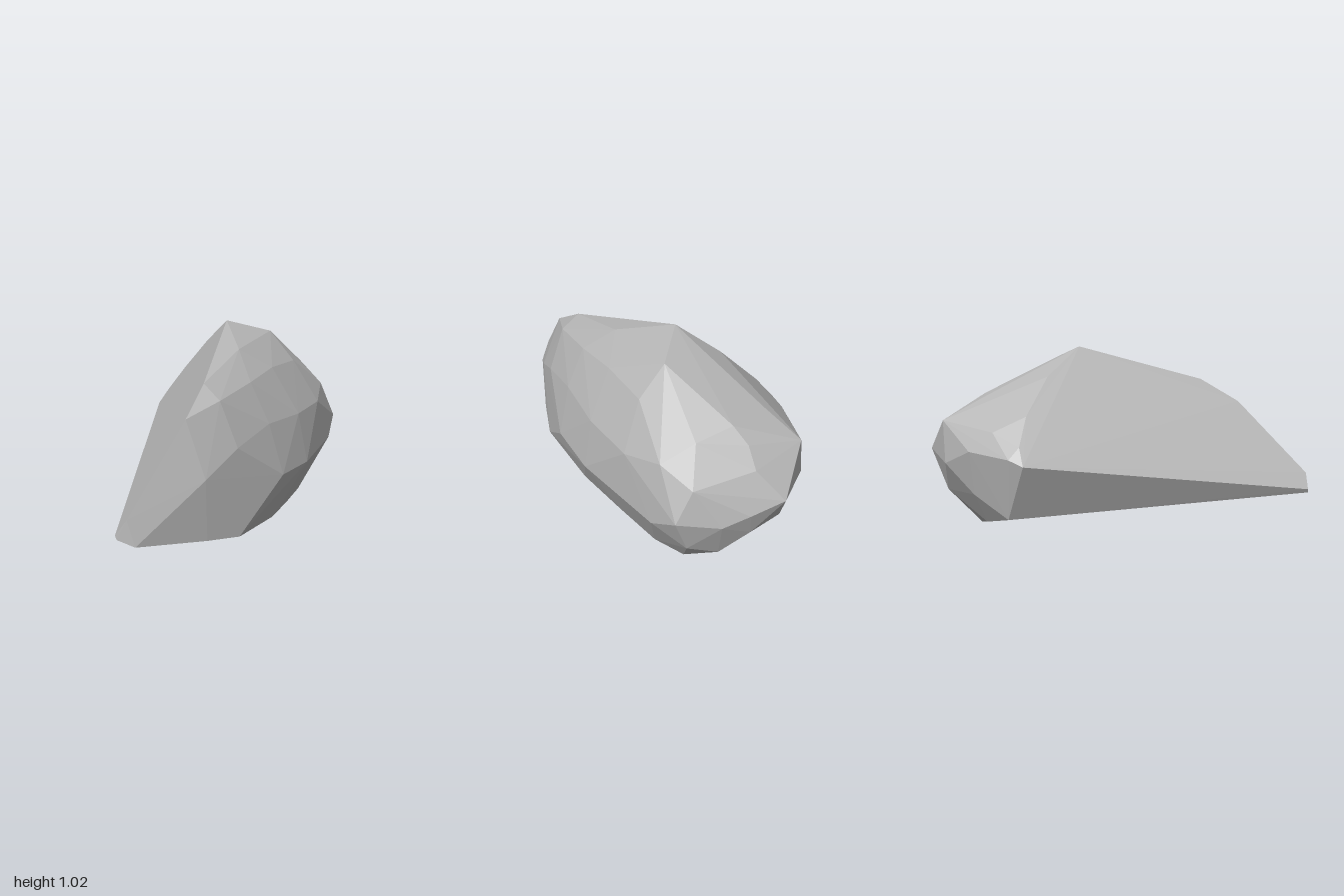
import * as THREE from 'three';
import { ConvexGeometry } from 'three/addons/geometries/ConvexGeometry.js';

export function createModel() {
  const group = new THREE.Group();
  group.name = 'rock';
  const stone = new THREE.MeshStandardMaterial({ color: 0xb4b4b4, flatShading: true });
  stone.name = 'grey stone';

  // Two flat cuts: the tilted underside and the sloping back
  const underside = (x, z) => new THREE.Vector3(x, 0.141 - 0.156 * x - 0.176 * z, z);
  const backCut = (x, y) => new THREE.Vector3(x, y, -0.718 - 0.739 * x + 0.849 * y);

  // Rim of the underside as x, z
  const bottomRim = [
    [-1, 0.26], [-0.98, 0.35], [-0.6, 0.46], [-0.4, 0.505], [0, 0.44], [0.3, 0.35],
    [0.55, 0.27], [0.7, 0.18], [0.74, 0], [0.72, -0.15], [0.6, -0.33], [0.41, -0.47],
  ].map(([x, z]) => underside(x, z));

  // Rim of the back cut as x, y
  const backRim = [
    [-1, 0.27], [-0.98, 0.35], [-0.8, 0.52], [-0.6, 0.72], [-0.4, 0.84], [-0.13, 0.92],
    [0.2, 1.02], [0.3, 0.87], [0.34, 0.68], [0.33, 0.54], [0.29, 0.45],
  ].map(([x, y]) => backCut(x, y));

  // Chipped corners of the rounded front, top and right end
  const corners = [
    [-0.07, 0.34, 0.54], [0.22, 0.32, 0.51], [0.87, 0.39, 0.31], [0.72, 0.3, 0.365],
    [-0.6, 0.45, 0.45], [-0.38, 0.55, 0.475], [-0.1, 0.6, 0.47], [0.2, 0.58, 0.46],
    [0.5, 0.57, 0.405], [-0.4, 0.77, 0.385], [-0.12, 0.8, 0.37], [0.14, 0.82, 0.33],
    [-0.02, 0.93, 0.23], [0.4, 0.95, 0.15], [0.42, 0.8, 0.29], [0.7, 0.62, 0.31],
    [0.6, 0.82, 0.05], [0.74, 0.76, -0.04], [0.74, 0.72, 0.15], [0.82, 0.69, -0.08],
    [0.86, 0.55, 0.22], [0.9, 0.6, -0.08], [0.95, 0.36, 0.11], [1, 0.46, -0.19],
    [0.98, 0.41, -0.02], [0.94, 0.27, -0.05], [0.87, 0.13, 0.08], [0.85, 0.2, 0.24],
    [0.87, 0.25, -0.25], [0.83, 0.64, -0.36], [0.66, 0.75, -0.25], [0.62, 0.5, -0.48],
    [0.8, 0.42, -0.4], [0.37, 0.48, -0.545], [0.62, 0.27, -0.43], [0.5, 0.6, -0.45],
  ].map((p) => new THREE.Vector3(...p));

  const boulder = new THREE.Mesh(new ConvexGeometry([...bottomRim, ...backRim, ...corners]), stone);
  boulder.name = 'boulder';
  group.add(boulder);
  return group;
}
